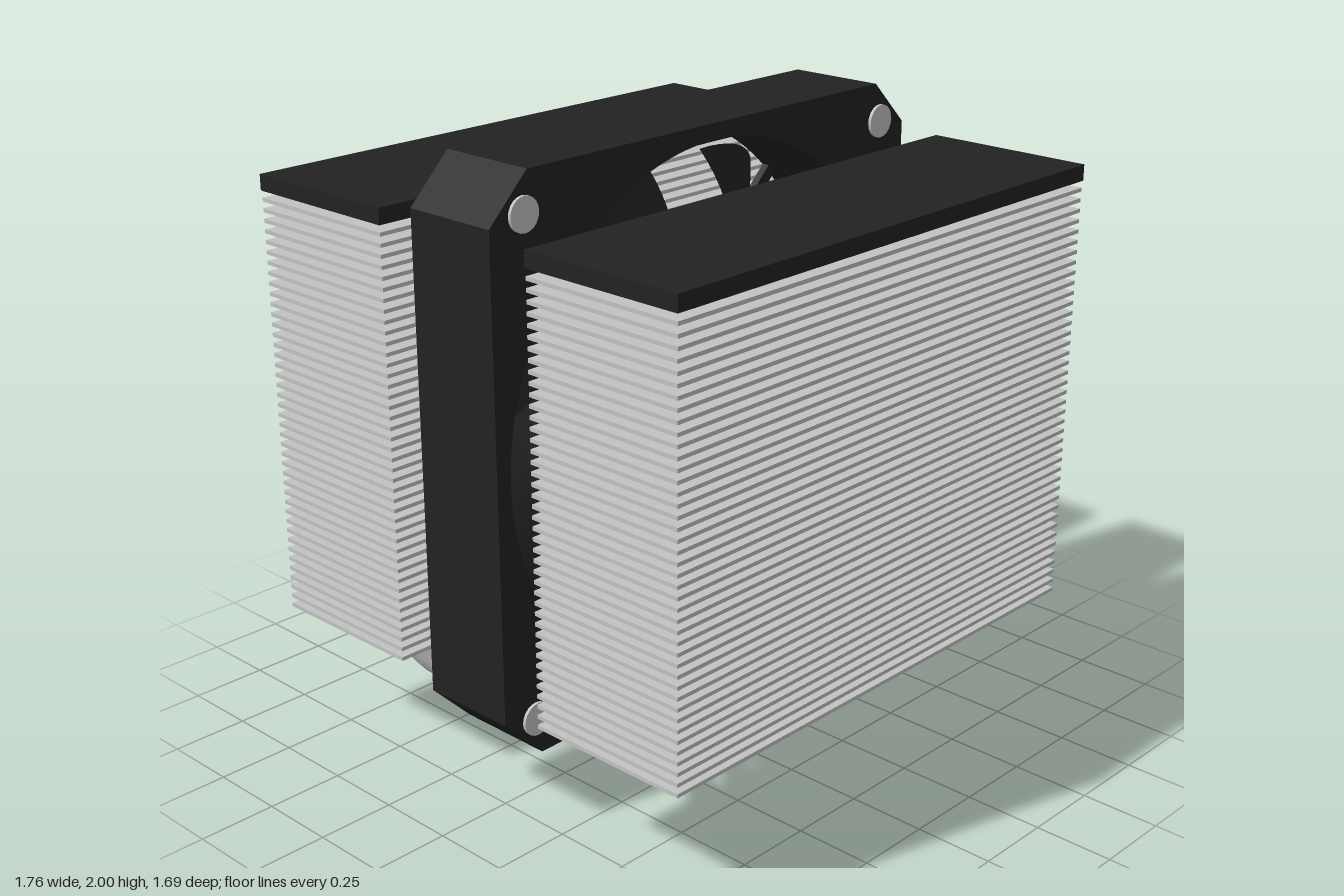
import * as THREE from 'three';
import { toCreasedNormals } from 'three/addons/utils/BufferGeometryUtils.js';

const black = new THREE.MeshStandardMaterial({ color: 0x222222 });
black.name = 'black plastic';
const blade = new THREE.MeshStandardMaterial({ color: 0x222222, side: THREE.DoubleSide });
blade.name = 'black blade';
const metal = new THREE.MeshStandardMaterial({ color: 0xc2c2c2 });
metal.name = 'bare metal';

const FAN_Y = 1.12;

function add(parent, name, geometry, material, x = 0, y = 0, z = 0) {
  const mesh = new THREE.Mesh(geometry, material);
  mesh.name = name;
  mesh.position.set(x, y, z);
  parent.add(mesh);
  return mesh;
}

// Cylinder whose axis runs along z
function disc(radius, depth, sides) {
  return new THREE.CylinderGeometry(radius, radius, depth, sides).rotateX(Math.PI / 2);
}

// Square outline with cut corners
function octagon(half, cut) {
  const a = half, b = half - cut;
  return new THREE.Shape([[b, -a], [a, -b], [a, b], [b, a], [-b, a], [-a, b], [-a, -b], [-b, -a]]
    .map(([x, y]) => new THREE.Vector2(x, y)));
}

// Swept, pitched blade: a grid over radius (u) and chord (v)
function bladeGeometry() {
  const g = new THREE.PlaneGeometry(1, 1, 8, 12);
  const p = g.attributes.position;
  for (let i = 0; i < p.count; i++) {
    const v = p.getX(i) + 0.5, u = p.getY(i) + 0.5;
    const r = 0.27 + 0.52 * u;
    const gap = 9 - 2 * u;
    const sweep = 139 + 34 * Math.pow(u, 0.9);
    const angle = THREE.MathUtils.degToRad(sweep + gap / 2 + (40 - gap) * v);
    const z = (v - 0.5) * (0.2 - 0.02 * u) + 0.03 * Math.sin(Math.PI * v);
    p.setXYZ(i, r * Math.cos(angle), r * Math.sin(angle), z);
  }
  g.computeVertexNormals();
  return g;
}

function makeFan() {
  const fan = new THREE.Group();
  fan.name = 'fan';
  fan.position.y = FAN_Y;

  // Frame with round opening
  const outline = octagon(0.88, 0.14);
  outline.holes.push(new THREE.Path().absarc(0, 0, 0.83, 0, Math.PI * 2, true));
  const frame = new THREE.ExtrudeGeometry(outline, { depth: 0.32, bevelEnabled: false, curveSegments: 64 });
  add(fan, 'fanFrame', toCreasedNormals(frame, 0.5), black, 0, 0, -0.16);

  // Hub, cap and blades
  add(fan, 'fanHub', disc(0.29, 0.26, 48), black);
  add(fan, 'hubCap', disc(0.185, 0.02, 48), metal, 0, 0, 0.13);
  const shape = bladeGeometry();
  for (let i = 0; i < 9; i++) {
    add(fan, 'fanBlade', shape, blade).rotation.z = i * Math.PI * 2 / 9;
  }

  // Rear motor struts
  for (let i = 0; i < 4; i++) {
    const strut = new THREE.BoxGeometry(0.6, 0.04, 0.025).translate(0.55, 0, 0);
    add(fan, 'motorStrut', strut, black, 0, 0, -0.145).rotation.z = Math.PI / 4 + i * Math.PI / 2;
  }

  // Corner pads on the front
  for (const x of [-0.76, 0.76]) {
    for (const y of [-0.76, 0.76]) add(fan, 'cornerPad', disc(0.052, 0.02, 20), metal, x, y, 0.16);
  }
  return fan;
}

// Heat pipe path for the pipe with top position x and foot position foot
function pipeGeometry(x, foot) {
  const mix = (t) => THREE.MathUtils.lerp(foot, x, t);
  const path = new THREE.CatmullRomCurve3([
    [x, 1.79, 0.575],
    [x * 1.01, 1.5, 0.58],
    [x * 1.045, 1.1, 0.597],
    [x * 1.045, 0.7, 0.604],
    [x * 1.02, 0.42, 0.585],
    [mix(0.87), 0.25, 0.525],
    [mix(0.6), 0.165, 0.42],
    [mix(0.3), 0.13, 0.3],
    [foot, 0.112, 0.17],
  ].map((p) => new THREE.Vector3(...p)));
  return new THREE.TubeGeometry(path, 48, 0.037, 14, false);
}

function makeStack() {
  const stack = new THREE.Group();
  stack.name = 'finStack';

  // Fins and top cover
  const fin = new THREE.BoxGeometry(1.76, 0.012, 0.545);
  for (let i = 0; i < 42; i++) add(stack, 'fin', fin, metal, 0, 0.433 + i * 0.0323, 0.571);
  add(stack, 'topCover', new THREE.BoxGeometry(1.765, 0.05, 0.55), black, 0, 1.81, 0.571);

  // Six heat pipes fanning out from the base
  [[0.13, 0.05], [0.39, 0.135], [0.65, 0.215]].forEach(([x, foot]) => {
    for (const side of [-1, 1]) add(stack, 'heatPipe', pipeGeometry(side * x, side * foot), metal);
  });
  return stack;
}

function makeBase() {
  const base = new THREE.Group();
  base.name = 'base';
  // Contact plate with bevelled edges
  const plate = new THREE.ExtrudeGeometry(octagon(0.283, 0.01), {
    depth: 0.07, bevelThickness: 0.012, bevelSize: 0.012, bevelSegments: 1,
  });
  plate.rotateX(-Math.PI / 2);
  add(base, 'contactPlate', plate, metal, 0, 0.012, 0);
  // Raised block that grips the pipes
  add(base, 'pipeClamp', new THREE.BoxGeometry(0.48, 0.05, 0.4), metal, 0, 0.107, 0);
  return base;
}

export function createModel() {
  const model = new THREE.Group();
  model.name = 'cpuCooler';
  const front = makeStack();
  const back = makeStack();
  back.rotation.y = Math.PI;
  model.add(front, back, makeFan(), makeBase());
  return model;
}
